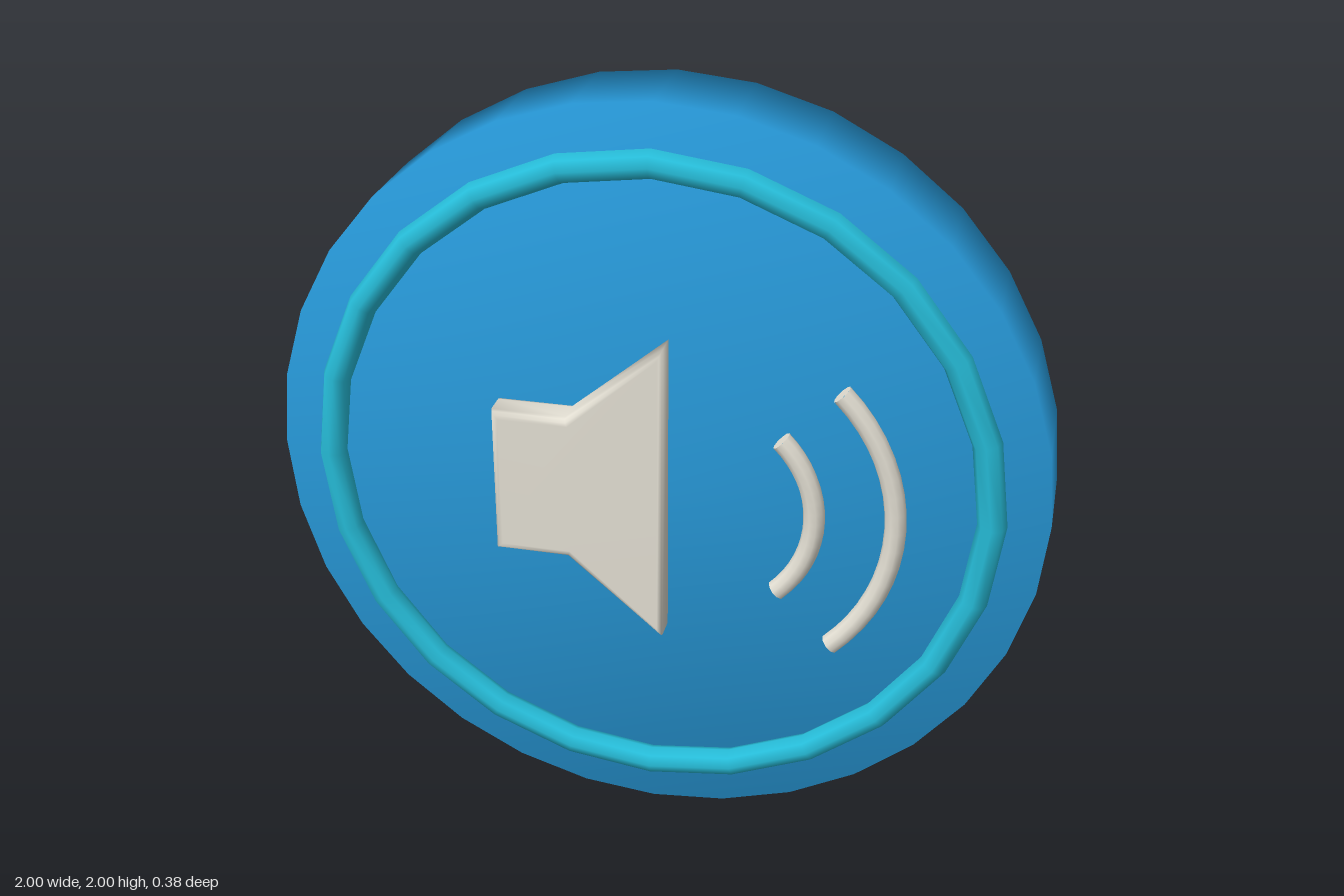
import * as THREE from 'three';
import { mergeVertices } from 'three/addons/utils/BufferGeometryUtils.js';

const blue = new THREE.MeshStandardMaterial({ color: 0x2799d9 });
const teal = new THREE.MeshStandardMaterial({ color: 0x26bcd8 });
const cream = new THREE.MeshStandardMaterial({ color: 0xe3dfd3 });

// Weld shared corners so shading runs smoothly over the edges
function weld(geometry) {
  geometry.deleteAttribute('uv');
  geometry.deleteAttribute('normal');
  const welded = mergeVertices(geometry, 1e-4);
  welded.computeVertexNormals();
  return welded;
}

function addMesh(parent, name, geometry, material, x = 0, y = 0, z = 0) {
  const mesh = new THREE.Mesh(geometry, material);
  mesh.name = name;
  mesh.position.set(x, y, z);
  parent.add(mesh);
  return mesh;
}

// Curved sound wave: a quarter of a torus with closed ends
function soundWave(name, radius) {
  const tube = 0.027, half = Math.PI / 4;
  const wave = new THREE.Group();
  wave.name = name;
  wave.position.set(0.13, 1, 0.163);
  addMesh(wave, name + 'Bar', new THREE.TorusGeometry(radius, tube, 10, 16, half * 2), cream)
    .rotation.z = -half;
  for (const side of [-1, 1]) {
    const a = side * half;
    const cap = addMesh(wave, name + 'End', new THREE.CircleGeometry(tube, 10), cream,
      radius * Math.cos(a), radius * Math.sin(a));
    const outward = new THREE.Vector3(-Math.sin(a), Math.cos(a), 0).multiplyScalar(side);
    cap.quaternion.setFromUnitVectors(new THREE.Vector3(0, 0, 1), outward);
  }
  return wave;
}

export function createModel() {
  const model = new THREE.Group();
  model.name = 'soundButton';

  // Button body
  const disc = new THREE.CylinderGeometry(1, 1, 0.255, 32).rotateX(Math.PI / 2);
  addMesh(model, 'buttonDisc', weld(disc), blue, 0, 1, -0.065);

  // Raised rim
  addMesh(model, 'rimRing', new THREE.TorusGeometry(0.858, 0.037, 8, 24), teal, 0, 1, 0.085);

  // Speaker plate: box and horn in one bevelled outline
  const bevel = 0.02;
  const outline = new THREE.Shape([
    [-0.38, -0.18], [-0.2, -0.18], [0.03, -0.385],
    [0.03, 0.385], [-0.2, 0.18], [-0.38, 0.18],
  ].map(([x, y]) => new THREE.Vector2(x, y)));
  const speaker = new THREE.ExtrudeGeometry(outline, {
    depth: 0.055, bevelEnabled: true, bevelSize: bevel, bevelThickness: bevel, bevelSegments: 3,
  });
  addMesh(model, 'speaker', weld(speaker), cream, 0, 1, 0.08);

  // Sound waves
  model.add(soundWave('innerWave', 0.3), soundWave('outerWave', 0.5));

  return model;
}
